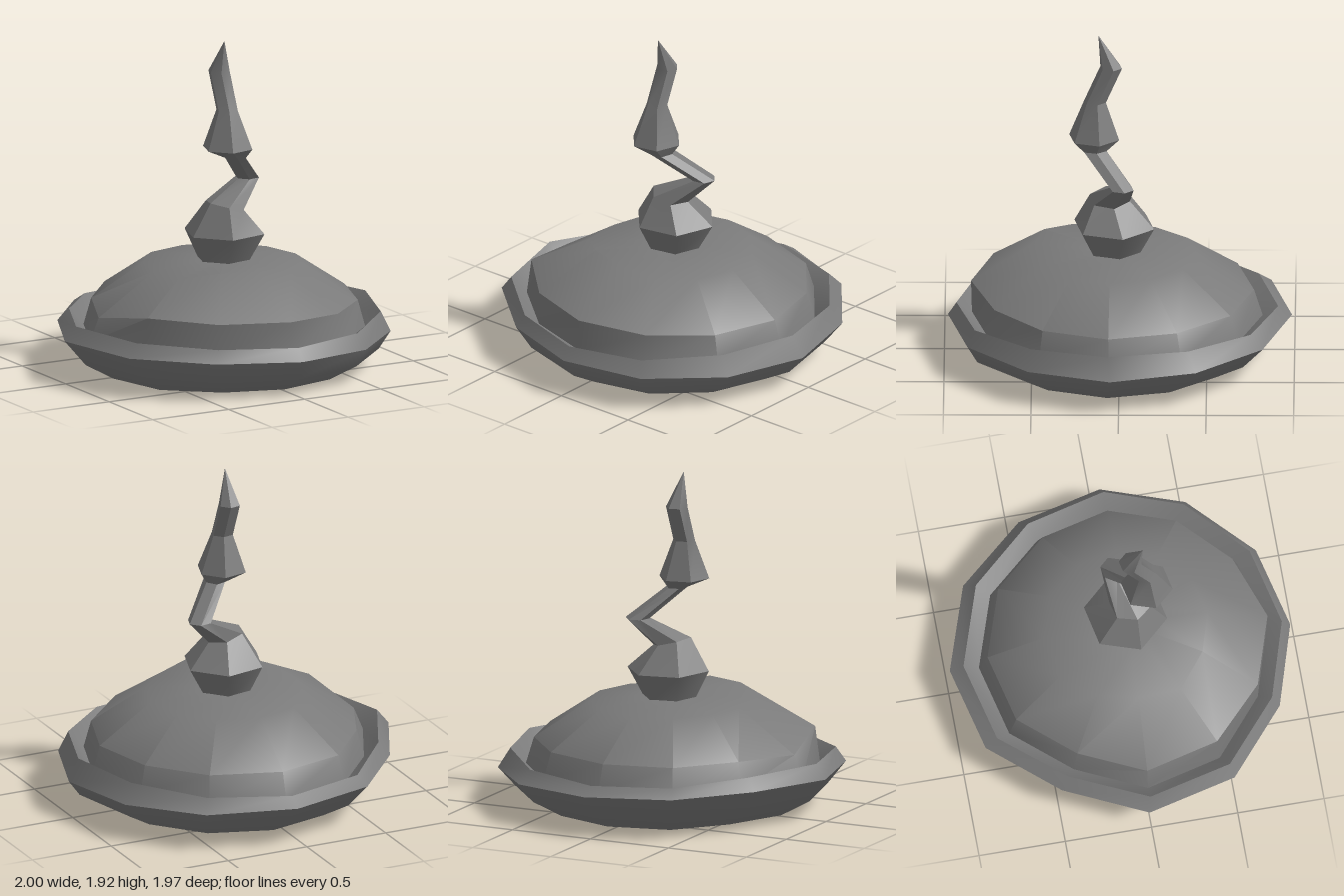
import * as THREE from 'three';
import { toCreasedNormals } from 'three/addons/utils/BufferGeometryUtils.js';

// Skin a list of equal-length point rings, ordered from bottom to top
function loft(name, rings, crease) {
  const n = rings[0].length;
  const index = [];
  for (let r = 0; r < rings.length - 1; r++) {
    for (let i = 0; i < n; i++) {
      const a = r * n + i, b = r * n + (i + 1) % n;
      index.push(a, a + n, b, b, a + n, b + n);
    }
  }
  const geometry = new THREE.BufferGeometry();
  geometry.setAttribute('position', new THREE.Float32BufferAttribute(rings.flat(2), 3));
  geometry.setIndex(index);
  const material = new THREE.MeshStandardMaterial({ color: 0x7a7a7a, side: THREE.DoubleSide });
  const mesh = new THREE.Mesh(toCreasedNormals(geometry, crease), material);
  mesh.name = name;
  return mesh;
}

// Uneven twelve-sided plan shared by brim and dome (x, z)
const OUTLINE = [
  [0.05, -0.985], [0.55, -0.82], [0.88, -0.44], [1, 0.05], [0.84, 0.52], [0.48, 0.865],
  [0, 0.98], [-0.48, 0.835], [-0.87, 0.505], [-1, -0.01], [-0.78, -0.48], [-0.45, -0.865],
];

// Scaled copy of the plan; scale and height may vary around the ring
function ring(scale, height, dx = 0, dz = 0) {
  return OUTLINE.map(([x, z], i) => {
    const s = typeof scale === 'function' ? scale(i) : scale;
    const y = typeof height === 'function' ? height(x, z, i) : height;
    return [x * s + dx, y, z * s + dz];
  });
}

// Six-sided section of the crooked spire
function hexagon([x, y, z, rx, rz, slope = 0]) {
  return Array.from({ length: 6 }, (_, k) => {
    const t = THREE.MathUtils.degToRad(-72 + 60 * k);
    const ox = rx * Math.cos(t);
    return [x + ox, y + ox * slope, z + rz * Math.sin(t)];
  });
}

export function createModel() {
  const group = new THREE.Group();
  group.name = 'crookedHat';

  // Upturned, slightly tilted brim, open underneath
  const valley = ring(0.845, 0.23, 0, 0.015);
  group.add(loft('brim', [
    ring(0.72, 0, 0.02, 0.03),
    ring(0.9, 0.1, 0.02, 0.03),
    ring(1, (x, z) => 0.225 - 0.022 * x - 0.012 * z),
    ring(0.935, (x, z) => 0.33 - 0.045 * z * z, 0, 0.015),
    valley,
  ], 0.7));

  // Dome, with a raised steep fold across the front right
  const foldHeight = { 5: 0.395, 6: 0.42, 7: 0.425, 8: 0.44, 9: 0.365 };
  const foldScale = { 5: 0.8, 6: 0.845, 7: 0.84, 8: 0.815, 9: 0.79 };
  group.add(loft('dome', [
    valley,
    ring((i) => foldScale[i] ?? 0.8, (x, z, i) => foldHeight[i] ?? 0.385, 0, 0.02),
    ring((i) => (i === 9 ? 0.43 : 0.48), (x, z, i) => (i === 6 || i === 7 ? 0.645 : 0.6), 0, 0.03),
    ring(0.16, 0.625, 0.02, 0.03),
    ring(0.001, 0.63, 0.02, 0.03),
  ], 0.7));

  // Zigzag spire: x, y, z, radius x, radius z, tilt
  const sections = [
    [0.02, 0.61, 0.03, 0.15, 0.15],
    [0.028, 0.78, 0.03, 0.24, 0.24],
    [0.015, 0.94, 0.055, 0.11, 0.12, -0.25],
    [0.203, 1.07, -0.015, 0.07, 0.07],
    [0.03, 1.24, 0.145, 0.06, 0.075],
    [-0.017, 1.3, 0.145, 0.147, 0.15],
    [-0.018, 1.52, 0.14, 0.064, 0.065],
    [-0.018, 1.73, 0.048, 0.064, 0.065],
    [-0.025, 1.92, 0.12, 0.001, 0.001],
  ].map(hexagon);
  group.add(loft('spireBase', sections.slice(0, 2), 1.1));
  group.add(loft('spire', sections.slice(1), 0.5));

  return group;
}
